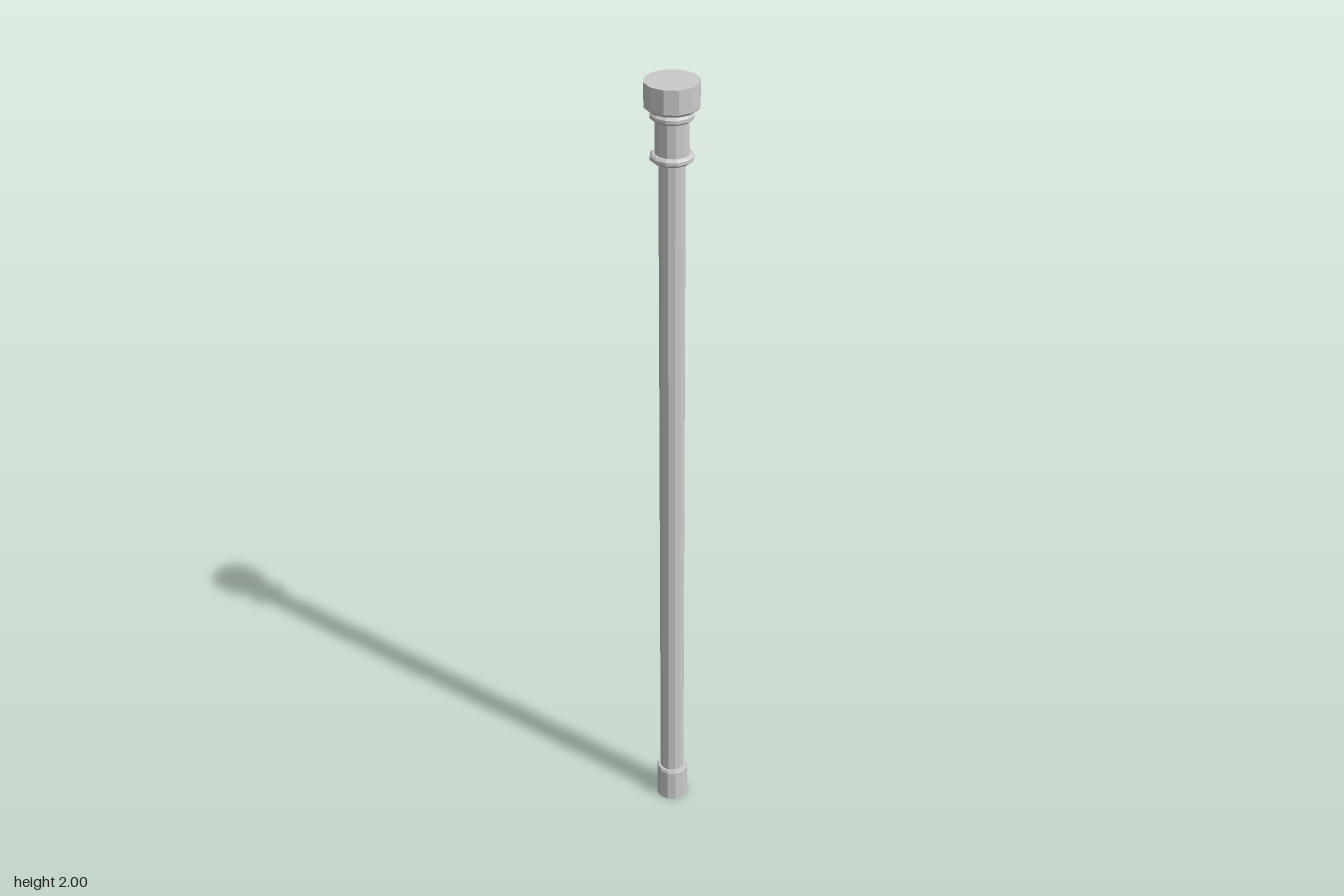
import * as THREE from 'three';

const SIDES = 12;

// Turned 12-sided part; profile runs bottom to top as [apothem, y], flats face the axes
function turned(name, profile, material) {
  const toCorner = 1 / Math.cos(Math.PI / SIDES);
  const points = profile.map(([r, y]) => new THREE.Vector2(r * toCorner, y));
  const geometry = new THREE.LatheGeometry(points, SIDES, Math.PI / SIDES);
  const mesh = new THREE.Mesh(geometry, material);
  mesh.name = name;
  return mesh;
}

export function createModel() {
  const group = new THREE.Group();
  group.name = 'staff';
  const grey = new THREE.MeshStandardMaterial({ color: 0xcccccc, flatShading: true });

  // Foot sleeve with a small bevel into the shaft
  group.add(turned('footSleeve', [[0, 0], [0.039, 0], [0.039, 0.085], [0.036, 0.092], [0, 0.092]], grey));

  // Long shaft
  group.add(turned('shaft', [[0, 0.05], [0.03, 0.05], [0.03, 1.85], [0, 1.85]], grey));

  // Collar below the head
  group.add(turned('neck', [[0, 1.82], [0.038, 1.82], [0.038, 1.95], [0, 1.95]], grey));

  // Thin bevelled rings at both ends of the collar
  for (const [name, y] of [['lowerRing', 1.823], ['upperRing', 1.921]]) {
    group.add(turned(name, [
      [0, y - 0.009], [0.044, y - 0.009], [0.049, y - 0.004],
      [0.049, y + 0.004], [0.044, y + 0.009], [0, y + 0.009],
    ], grey));
  }

  // Wide head cap, chamfered underneath
  group.add(turned('headCap', [[0, 1.936], [0.055, 1.936], [0.062, 1.943], [0.062, 2], [0, 2]], grey));

  return group;
}
